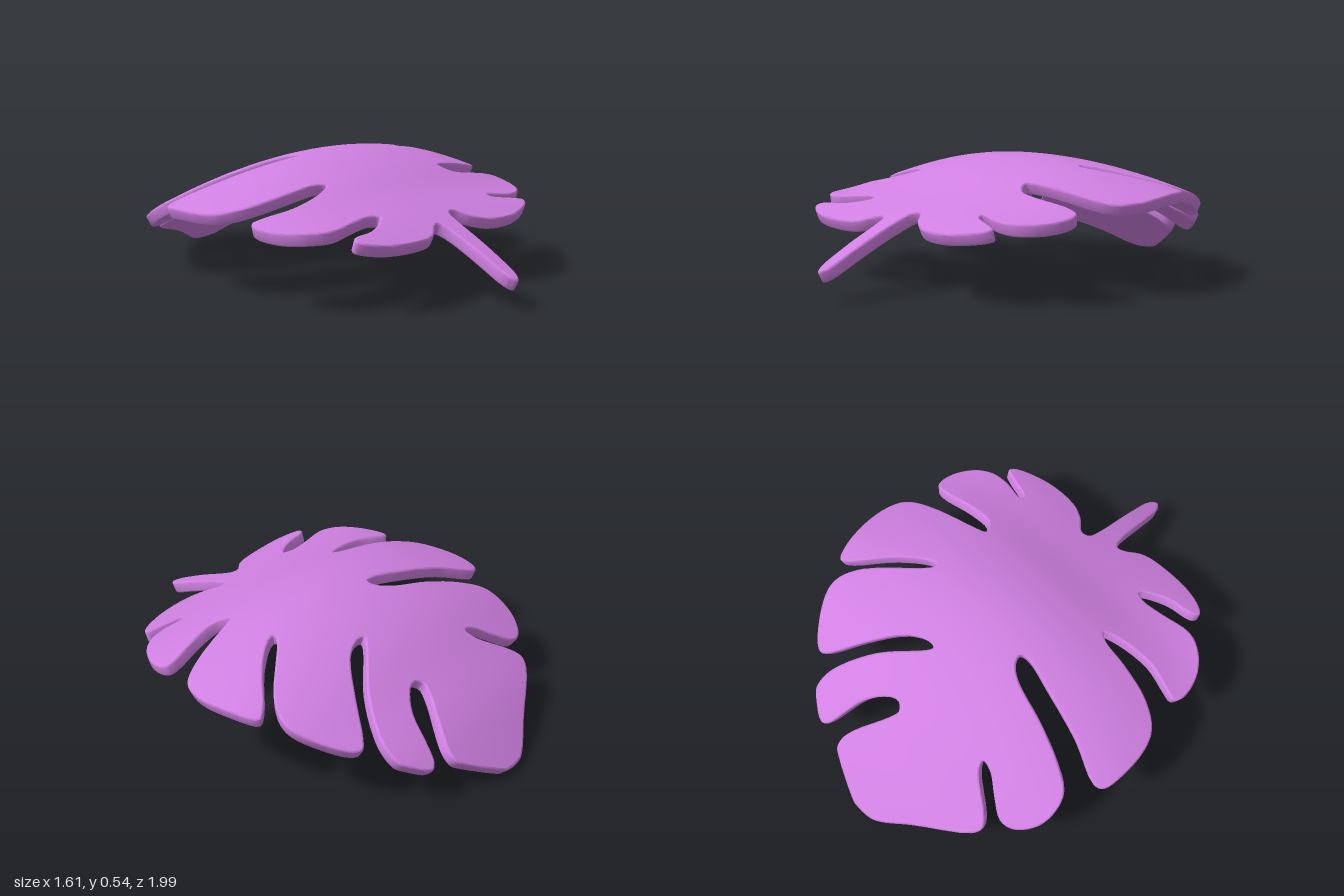
import * as THREE from 'three';
import { toCreasedNormals } from 'three/addons/utils/BufferGeometryUtils.js';

const THICK = 0.057, BEVEL = 0.009, MAX_EDGE = 0.07;

// Outline as x, z pairs: right edge from the tip to the stalk, one lobe per row
const rightEdge = [
  -.08, -1, .01, -1, .05, -.985, .19, -.91, .222, -.885, .225, -.845, .2, -.79, .105, -.65, .09, -.61, .115, -.585,
  .16, -.595, .24, -.67, .29, -.79, .315, -.84, .35, -.855, .43, -.8, .46, -.765, .46, -.7, .43, -.63, .33, -.5, .16, -.355,
  .145, -.33, .18, -.325, .27, -.365, .4, -.5, .5, -.62, .54, -.648, .58, -.63, .66, -.53, .705, -.43, .7, -.36, .64, -.27, .4, -.07,
  .4, -.05, .44, -.06, .56, -.14, .71, -.28, .755, -.3, .78, -.26, .805, -.1, .795, .02, .755, .105, .66, .155, .4, .215,
  .365, .23, .4, .28, .5, .285, .67, .263, .71, .275, .72, .31, .705, .38, .65, .46, .58, .503, .5, .51, .395, .492,
  .395, .508, .51, .55, .545, .57, .53, .6, .38, .66, .22, .66, .14, .62, .085, .565,
];
const stalk = [.05, .575, .036, .63, .022, .85, .008, .97, -.02, .998, -.045, .97, -.054, .85, -.062, .66];
// Left edge from the stalk back to the tip
const leftEdge = [
  -.08, .628, -.11, .637, -.17, .685, -.24, .705, -.43, .7, -.53, .665, -.56, .635, -.54, .607, -.43, .588, -.34, .545, -.305, .512,
  -.34, .495, -.44, .505, -.59, .527, -.68, .48, -.745, .39, -.765, .28, -.745, .238, -.7, .245, -.57, .28, -.41, .265, -.335, .232,
  -.37, .208, -.5, .188, -.66, .145, -.765, .07, -.802, -.03, -.805, -.17, -.785, -.26, -.745, -.28, -.57, -.205, -.35, -.14, -.2, -.1,
  -.16, -.11, -.17, -.15, -.23, -.195, -.4, -.25, -.57, -.32, -.67, -.385, -.695, -.46, -.68, -.55, -.61, -.63, -.54, -.645, -.46, -.595, -.38, -.535,
  -.33, -.525, -.345, -.565, -.48, -.675, -.505, -.715, -.48, -.76, -.25, -.905, -.13, -.982,
];

// Smooth function of z through values at z = -1.2, -1.0 ... 1.2
function alongLeaf(values) {
  const curve = new THREE.SplineCurve(values.map((v, i) => new THREE.Vector2(i, v)));
  return z => curve.getPoint(THREE.MathUtils.clamp((z + 1.2) / 2.4, 0, 1)).y;
}
const midrib = alongLeaf([-.14, .053, .235, .36, .468, .53, .545, .5, .412, .33, .24, .135, .03]);
const droop = alongLeaf([.6, .6, .65, .7, .75, .85, 1, .9, .5, .05, 0, 0, 0]);

// Arched upper surface of the leaf, twisting slightly toward the tip
const height = (x, z) => midrib(z) - droop(z) * .25 * x * x + (.025 - .055 * z) * x;

// Halve the longest edge until every edge is short enough to bend
function split(a, b, c, out) {
  const ab = a.distanceTo(b), bc = b.distanceTo(c), ca = c.distanceTo(a);
  const longest = Math.max(ab, bc, ca);
  if (longest <= MAX_EDGE) { out.push(a, b, c); return; }
  if (longest === bc) [a, b, c] = [b, c, a];
  else if (longest === ca) [a, b, c] = [c, a, b];
  const m = a.clone().add(b).multiplyScalar(.5);
  split(a, m, c, out);
  split(m, b, c, out);
}

function flatLeaf() {
  const points = [];
  const xz = [...rightEdge, ...stalk, ...leftEdge];
  for (let i = 0; i < xz.length; i += 2) points.push(new THREE.Vector3(xz[i], -xz[i + 1], 0));
  const curve = new THREE.CatmullRomCurve3(points, true, 'centripetal');
  const outline = [];
  for (let i = 0; i < points.length * 4; i++) {
    const p = curve.getPoint(i / (points.length * 4));
    outline.push(new THREE.Vector2(p.x, p.y));
  }
  const slab = new THREE.ExtrudeGeometry(new THREE.Shape(outline), {
    depth: THICK - 2 * BEVEL, bevelThickness: BEVEL, bevelSize: BEVEL,
    bevelOffset: -BEVEL, bevelSegments: 3,
  });
  // Lay it flat with its upper face at y = 0
  slab.rotateX(-Math.PI / 2).translate(0, BEVEL - THICK, 0);
  const p = slab.attributes.position, out = [];
  const at = i => new THREE.Vector3().fromBufferAttribute(p, i);
  for (let i = 0; i < p.count; i += 3) split(at(i), at(i + 1), at(i + 2), out);
  return toCreasedNormals(new THREE.BufferGeometry().setFromPoints(out), .7);
}

// Carry points and normals of the flat leaf onto the arched surface
function arch(geo) {
  const p = geo.attributes.position, n = geo.attributes.normal;
  const e = .01, normal = new THREE.Vector3(), v = new THREE.Vector3();
  for (let i = 0; i < p.count; i += 3) {
    const h = [p.getY(i), p.getY(i + 1), p.getY(i + 2)];
    const isFace = Math.max(...h) - Math.min(...h) < 1e-5;
    for (let k = i; k < i + 3; k++) {
      const x = p.getX(k), y = p.getY(k), z = p.getZ(k);
      const sx = (height(x + e, z) - height(x - e, z)) / (2 * e);
      const sz = (height(x, z + e) - height(x, z - e)) / (2 * e);
      normal.set(-sx, 1, -sz).normalize();
      if (isFace) n.setXYZ(k, 0, y > -THICK / 2 ? 1 : -1, 0);
      v.copy(normal).multiplyScalar(n.getY(k));
      v.x += n.getX(k);
      v.z += n.getZ(k);
      v.y += n.getX(k) * sx + n.getZ(k) * sz;
      v.normalize();
      n.setXYZ(k, v.x, v.y, v.z);
      p.setXYZ(k, x + normal.x * y, height(x, z) + normal.y * y, z + normal.z * y);
    }
  }
  return geo;
}

export function createModel() {
  const group = new THREE.Group();
  group.name = 'splitLeaf';
  const geo = arch(flatLeaf());
  geo.computeBoundingBox();
  const { min, max } = geo.boundingBox;
  geo.translate(-(min.x + max.x) / 2, -min.y, -(min.z + max.z) / 2);
  const leaf = new THREE.Mesh(geo, new THREE.MeshStandardMaterial({ color: 0xd080e2 }));
  leaf.name = 'leafBlade';
  group.add(leaf);
  return group;
}
